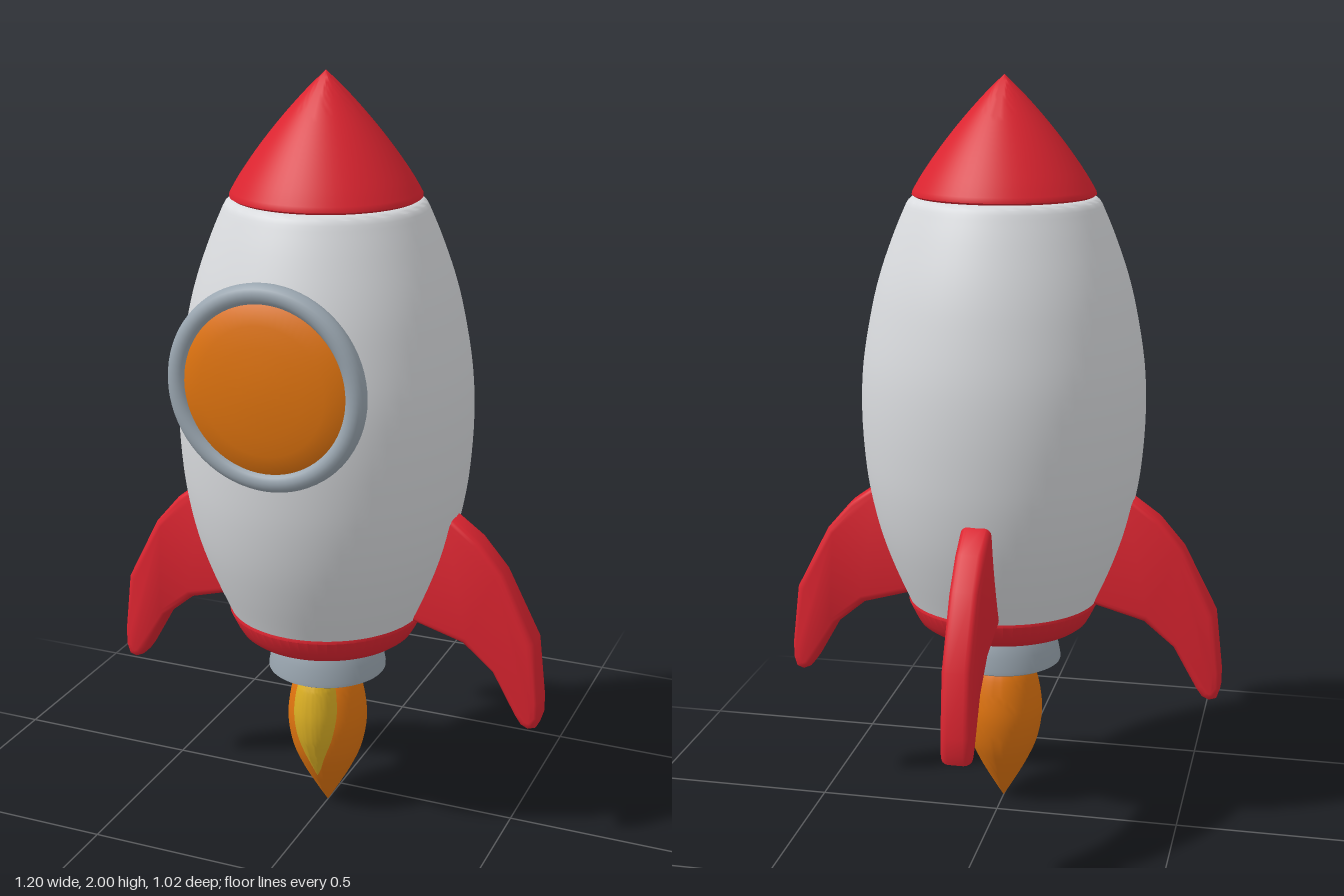
import * as THREE from 'three';
import { toCreasedNormals } from 'three/addons/utils/BufferGeometryUtils.js';

const AXIS_Z = 0.093; // the hull axis sits a little forward of the origin

function material(name, color) {
  const m = new THREE.MeshStandardMaterial({ color });
  m.name = name;
  return m;
}

// Smooth curve through a few [radius, height] points
function smooth(points, n = 40) {
  const curve = new THREE.SplineCurve(points.map(p => new THREE.Vector2(...p)));
  return curve.getPoints(n).map(p => [Math.max(p.x, 0), p.y]);
}

// Turned part; profile runs from bottom to top
function turned(name, profile, mat) {
  const geo = new THREE.LatheGeometry(profile.map(p => new THREE.Vector2(...p)), 64);
  const mesh = new THREE.Mesh(toCreasedNormals(geo, 0.7), mat);
  mesh.name = name;
  return mesh;
}

export function createModel() {
  const red = material('red', 0xdc2430);
  const white = material('hull white', 0xd9dbde);
  const grey = material('metal grey', 0x9aa6b0);
  const orange = material('orange', 0xe0740f);
  const yellow = material('yellow', 0xdcb024);
  const dark = material('dark', 0x3a4048);

  const model = new THREE.Group();
  model.name = 'rocket';
  const rocket = new THREE.Group();
  rocket.name = 'rocketBody';
  rocket.position.z = AXIS_Z;
  model.add(rocket);

  // Hull with a softly rounded shoulder
  rocket.add(turned('hull', [
    [0, 0.6],
    ...smooth([[0.255, 0.6], [0.298, 0.7], [0.333, 0.8], [0.357, 0.9], [0.371, 1.0],
      [0.378, 1.13], [0.372, 1.26], [0.348, 1.4], [0.322, 1.5], [0.286, 1.6], [0.256, 1.67]]),
    [0.25, 1.681], [0.242, 1.688], [0.23, 1.692], [0, 1.692],
  ], white));

  // Nose cone
  rocket.add(turned('noseCone', [
    [0, 1.692], [0.232, 1.692], [0.24, 1.697],
    ...smooth([[0.239, 1.704], [0.215, 1.745], [0.175, 1.803], [0.131, 1.86],
      [0.084, 1.915], [0.04, 1.962], [0, 2.0]], 24),
  ], red));

  // Base collar and nozzle
  rocket.add(turned('baseCollar', [
    [0, 0.527], [0.2, 0.527], [0.217, 0.531], [0.23, 0.541], [0.24, 0.558],
    [0.259, 0.597], [0.257, 0.605], [0.25, 0.608], [0, 0.608],
  ], red));
  rocket.add(turned('nozzle', [
    [0.122, 0.425], [0.128, 0.419], [0.148, 0.419], [0.157, 0.424], [0.157, 0.433],
    [0.15, 0.47], [0.142, 0.508], [0.136, 0.518], [0.125, 0.523], [0.11, 0.53],
  ], grey));
  rocket.add(turned('nozzleInside', [[0, 0.47], [0.105, 0.47], [0.122, 0.425]], dark));

  // Flame, with a smaller yellow flame on its front
  const flameProfile = [
    [0, 0.42], [0.06, 0.415],
  ];
  const flameShape = (r, bottom, top) => [
    ...smooth([[0, 0], [0.3, 0.13], [0.62, 0.28], [0.88, 0.44], [1, 0.62],
      [0.96, 0.78], [0.83, 0.92], [0.66, 1]], 32),
    [0, 1],
  ].map(([x, y]) => [x * r, bottom + y * (top - bottom)]);
  rocket.add(turned('flame', flameShape(0.107, 0.004, 0.415), orange));
  const innerFlame = turned('innerFlame', flameShape(0.062, 0.115, 0.412), yellow);
  innerFlame.position.z = 0.073;
  rocket.add(innerFlame);

  // Round window: domed glass in a tubular frame
  const porthole = new THREE.Group();
  porthole.name = 'porthole';
  porthole.position.set(0, 1.3, 0.465 - AXIS_Z);
  const glass = turned('windowGlass', [
    [0, -0.053], [0.17, -0.053], [0.195, -0.046], [0.218, -0.028], [0.225, 0],
    [0.205, 0.016], [0.16, 0.028], [0.11, 0.036], [0.055, 0.041], [0, 0.043],
  ], orange);
  glass.rotation.x = Math.PI / 2;
  const frame = new THREE.Mesh(new THREE.TorusGeometry(0.23, 0.026, 20, 72), grey);
  frame.name = 'windowFrame';
  porthole.add(glass, frame);
  rocket.add(porthole);

  // Three swept fins: right, left and back
  const outline = [[0.22, 0.61], [0.39, 0.562], [0.472, 0.494], [0.535, 0.382], [0.552, 0.358],
    [0.572, 0.349], [0.592, 0.356], [0.601, 0.385], [0.601, 0.43], [0.582, 0.595],
    [0.492, 0.77], [0.425, 0.848], [0.35, 0.902], [0.24, 0.91]];
  const finGeo = toCreasedNormals(new THREE.ExtrudeGeometry(
    new THREE.Shape(outline.map(p => new THREE.Vector2(...p))),
    { depth: 0.04, bevelEnabled: true, bevelThickness: 0.02, bevelSize: 0.02, bevelOffset: -0.02, bevelSegments: 4 },
  ).translate(0, 0, -0.02), 0.6);
  [['leftFin', 0], ['backFin', Math.PI / 2], ['rightFin', Math.PI]].forEach(([name, angle]) => {
    const fin = new THREE.Mesh(finGeo, red);
    fin.name = name;
    fin.rotation.y = angle;
    rocket.add(fin);
  });

  return model;
}
